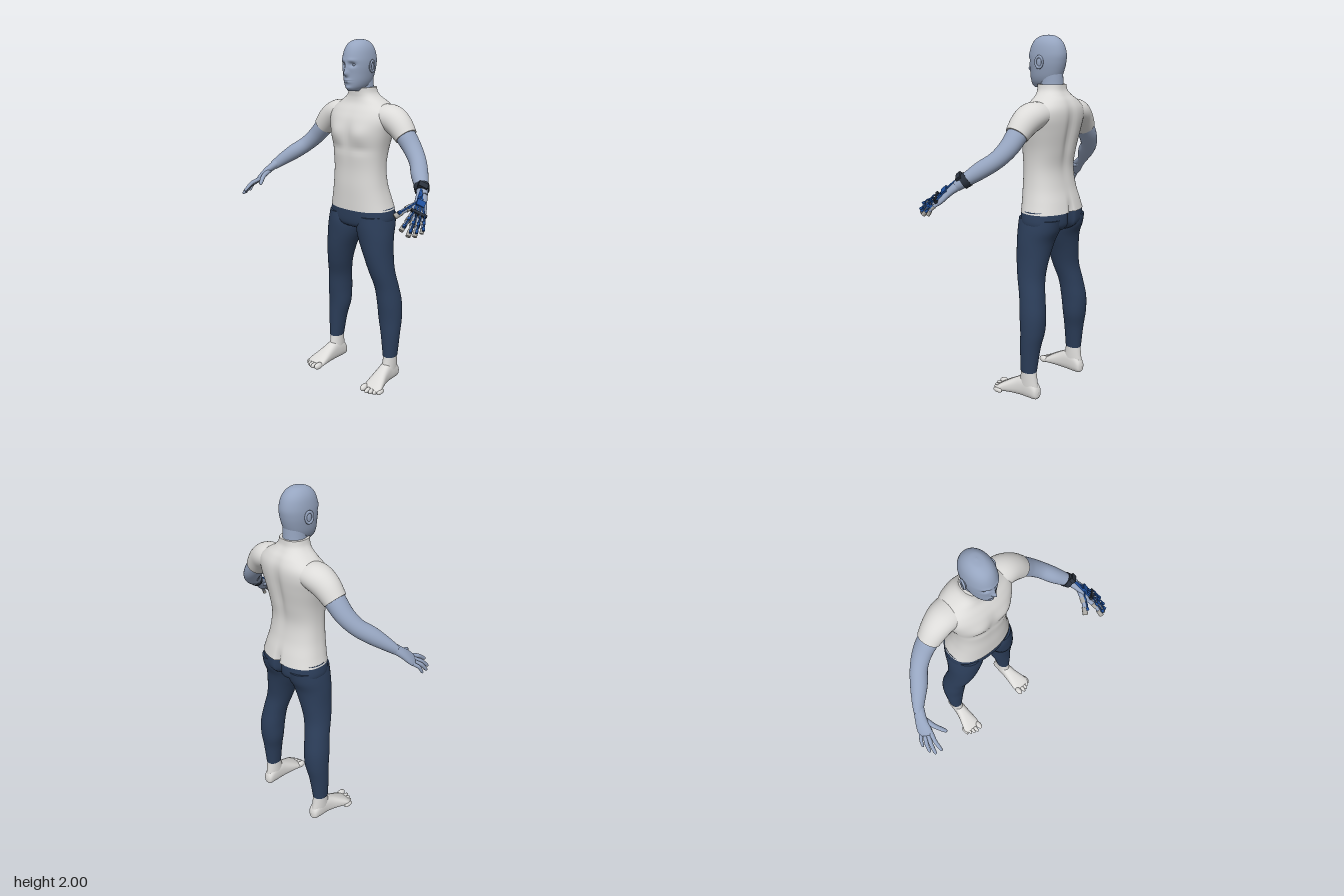
import * as THREE from 'three';

const mat = (name, color) => Object.assign(new THREE.MeshStandardMaterial({ color }), { name });
const V = (x, y, z) => new THREE.Vector3(x, y, z);
const gauss = (x, c, w) => Math.exp(-(((x - c) / w) ** 2));

// Catmull-Rom resampling of rows of numbers
function resample(rows, sub) {
  const out = [], at = i => rows[Math.min(rows.length - 1, Math.max(0, i))];
  for (let i = 0; i < rows.length - 1; i++)
    for (let k = 0; k < sub; k++) {
      const t = k / sub;
      out.push(rows[i].map((b, j) => {
        const a = at(i - 1)[j], c = at(i + 1)[j], d = at(i + 2)[j];
        return b + 0.5 * t * (c - a + t * (2 * a - 5 * b + 4 * c - d + t * (3 * (b - c) + d - a)));
      }));
    }
  out.push(rows[rows.length - 1]);
  return out;
}

// Skin a list of closed rings, with flat caps and outward faces
function skinRings(rings) {
  const n = rings[0].length, pts = rings.flat(), idx = [];
  for (let i = 0; i < rings.length - 1; i++)
    for (let j = 0; j < n; j++) {
      const a = i * n + j, b = i * n + (j + 1) % n;
      idx.push(a, b, a + n, b, b + n, a + n);
    }
  for (const last of [false, true]) {
    const ring = rings[last ? rings.length - 1 : 0], base = pts.length;
    const mid = ring.reduce((m, p) => m.add(p), V(0, 0, 0)).divideScalar(n);
    pts.push(...ring, mid);
    for (let j = 0; j < n; j++) {
      const a = base + j, b = base + (j + 1) % n;
      idx.push(base + n, ...(last ? [a, b] : [b, a]));
    }
  }
  let volume = 0;
  const cr = V(0, 0, 0);
  for (let i = 0; i < idx.length; i += 3)
    volume += pts[idx[i]].dot(cr.crossVectors(pts[idx[i + 1]], pts[idx[i + 2]]));
  if (volume < 0) idx.reverse();
  const geo = new THREE.BufferGeometry().setFromPoints(pts);
  geo.setIndex(idx);
  geo.computeVertexNormals();
  return geo;
}

// Sections along y (or z): [position, x from, x to, front/top, back/bottom]
function loft(rows, { e = 2, axis = 'y', s = 1, seg = 40, sub = 6, sculpt } = {}) {
  const pw = v => Math.sign(v) * Math.abs(v) ** (2 / e);
  return skinRings(resample(rows, sub).map(([h, xa, xb, f, b]) => Array.from({ length: seg }, (_, j) => {
    const a = j / seg * Math.PI * 2;
    const x = (xa + xb) / 2 + (xb - xa) / 2 * pw(Math.cos(a));
    const w = (f + b) / 2 + (f - b) / 2 * pw(Math.sin(a));
    const p = axis === 'y' ? V(x * s, h, w) : V(x * s, w, h);
    if (sculpt) sculpt(p);
    return p;
  })));
}
const even = rows => rows.map(([y, w, f, b]) => [y, -w, w, f, b]);

// Limb along a path: [x, y, z, radius across, radius along ref]
function limb(rows, s, ref = V(0, 0, 1), seg = 24, sub = 6) {
  const r = resample(rows, sub).map(q => [q[0] * s, ...q.slice(1)]);
  return skinRings(r.map((q, i) => {
    const p = r[Math.max(0, i - 1)], n = r[Math.min(r.length - 1, i + 1)];
    const t = V(n[0] - p[0], n[1] - p[1], n[2] - p[2]).normalize();
    const u = V(0, 0, 0).crossVectors(t, ref).normalize(), v = V(0, 0, 0).crossVectors(u, t);
    return Array.from({ length: seg }, (_, j) => {
      const a = j / seg * Math.PI * 2;
      return V(q[0], q[1], q[2]).addScaledVector(u, Math.cos(a) * q[3]).addScaledVector(v, Math.sin(a) * q[4]);
    });
  }));
}

export function createModel() {
  const skin = mat('skin', 0x96a5c0), cloth = mat('light cloth', 0xdcdbd9), navy = mat('navy trousers', 0x2c3e5a);
  const blue = mat('glove blue', 0x1f4f9c), dark = mat('glove dark', 0x2a313d), metal = mat('glove grey', 0xa9a7a2);
  const root = new THREE.Group(), body = new THREE.Group();
  root.name = 'figure';
  body.name = 'body';
  body.position.x = -0.012;
  root.add(body);
  const add = (name, geo, m) => {
    const mesh = new THREE.Mesh(geo, m);
    mesh.name = name;
    body.add(mesh);
    return mesh;
  };
  const ball = (name, m, [x, y, z], [a, b, c]) => {
    const o = add(name, new THREE.SphereGeometry(1, 24, 16), m);
    o.position.set(x, y, z);
    o.scale.set(a, b, c);
    return o;
  };
  const bar = (name, a, b, r, m) => {
    const o = add(name, new THREE.CylinderGeometry(r, r, a.distanceTo(b), 10), m);
    o.position.copy(a).lerp(b, 0.5);
    o.quaternion.setFromUnitVectors(V(0, 1, 0), b.clone().sub(a).normalize());
    return o;
  };

  // Head and neck
  add('head', loft(even([
    [2.0, 0.004, -0.1, -0.11], [1.994, 0.033, -0.06, -0.145], [1.975, 0.055, -0.026, -0.176],
    [1.945, 0.07, -0.005, -0.198], [1.9, 0.078, 0.008, -0.21], [1.86, 0.078, 0.008, -0.207],
    [1.82, 0.073, 0.004, -0.197], [1.78, 0.065, 0.001, -0.182], [1.75, 0.052, -0.004, -0.165],
    [1.728, 0.032, -0.018, -0.13]]), {
    e: 2.1, seg: 96, sub: 12, sculpt: p => {
      if (p.z < -0.08) return;
      const ax = Math.abs(p.x), y = p.y;
      p.z += 0.025 * gauss(p.x, 0, 0.011) * gauss(y, 1.824, 0.016) + 0.011 * gauss(p.x, 0, 0.008) * gauss(y, 1.853, 0.022)
        - 0.014 * gauss(ax, 0.032, 0.016) * gauss(y, 1.87, 0.012) + 0.004 * gauss(ax, 0.03, 0.025) * gauss(y, 1.893, 0.01)
        + 0.01 * gauss(p.x, 0, 0.022) * gauss(y, 1.783, 0.012) - 0.006 * gauss(p.x, 0, 0.024) * gauss(y, 1.783, 0.003)
        + 0.007 * gauss(p.x, 0, 0.02) * gauss(y, 1.745, 0.011);
    } }), skin);
  add('neck', loft(even([[1.7, 0.065, -0.06, -0.195], [1.75, 0.06, -0.062, -0.192], [1.8, 0.058, -0.06, -0.19]])), skin);

  // Shirt body with chest, spine and seat modelling
  add('shirt', loft(even([
    [1.062, 0.201, 0, -0.273], [1.12, 0.185, 0.001, -0.258], [1.2, 0.168, 0.002, -0.235], [1.3, 0.16, 0, -0.222],
    [1.4, 0.168, 0.006, -0.237], [1.5, 0.192, 0.008, -0.256], [1.57, 0.208, -0.004, -0.265], [1.62, 0.198, -0.027, -0.262],
    [1.66, 0.152, -0.05, -0.245], [1.69, 0.105, -0.058, -0.222], [1.715, 0.082, -0.058, -0.207], [1.745, 0.074, -0.055, -0.202]]), {
    e: 2.35, seg: 80, sculpt: p => {
      const ax = Math.abs(p.x), y = p.y;
      if (p.z > -0.1) p.z += 0.013 * gauss(ax, 0.085, 0.055) * gauss(y, 1.5, 0.05) - 0.006 * gauss(p.x, 0, 0.025) * gauss(y, 1.48, 0.1)
        - 0.006 * gauss(y, 1.415, 0.025) * gauss(ax, 0.08, 0.07);
      else p.z += 0.018 * gauss(p.x, 0, 0.03) * gauss(y, 1.48, 0.16) + 0.025 * gauss(p.x, 0, 0.014) * gauss(y, 1.05, 0.07);
    } }), cloth);

  // Trouser seat
  add('trouserSeat', loft(even([[1.075, 0.198, -0.003, -0.268], [1.0, 0.205, -0.006, -0.267],
    [0.965, 0.15, -0.02, -0.24], [0.945, 0.05, -0.06, -0.19]]), {
    e: 2.35, seg: 64, sculpt: p => { if (p.z < -0.1) p.z += 0.035 * gauss(p.x, 0, 0.018); } }), navy);

  for (const s of [1, -1]) {
    const side = s > 0 ? 'left' : 'right';

    // Ear and eye
    ball(side + 'Ear', skin, [0.081 * s, 1.858, -0.105], [0.009, 0.03, 0.017]);
    const rim = add(side + 'EarRim', new THREE.TorusGeometry(0.02, 0.006, 10, 28), skin);
    rim.position.set(0.086 * s, 1.86, -0.107);
    rim.rotation.y = Math.PI / 2 + 0.25 * s;
    rim.scale.y = 1.4;
    ball(side + 'Eye', skin, [0.032 * s, 1.869, -0.022], [0.013, 0.009, 0.013]);

    // Sleeve and arm
    add(side + 'Sleeve', limb([[0.11, 1.597, -0.15, 0.06, 0.085], [0.19, 1.587, -0.147, 0.073, 0.085],
      [0.25, 1.553, -0.141, 0.072, 0.075], [0.304, 1.498, -0.135, 0.06, 0.064]], s, undefined, 36), cloth);
    add(side + 'Arm', limb([[0.24, 1.56, -0.14, 0.055, 0.055], [0.3, 1.5, -0.136, 0.054, 0.058],
      [0.36, 1.435, -0.125, 0.049, 0.053], [0.417, 1.378, -0.093, 0.045, 0.047], [0.47, 1.33, -0.037, 0.044, 0.046],
      [0.52, 1.285, 0.013, 0.036, 0.035], [0.557, 1.248, 0.052, 0.027, 0.024]], s, undefined, 32), skin);

    // Palm and fingers
    const out = V(0.67 * s, 0.67, 0.33).normalize();
    add(side + 'Palm', limb([[0.54, 1.265, 0.035, 0.028, 0.025], [0.57, 1.225, 0.085, 0.033, 0.021],
      [0.587, 1.188, 0.125, 0.041, 0.018], [0.595, 1.166, 0.148, 0.038, 0.014], [0.598, 1.158, 0.156, 0.028, 0.006]], s, out), skin);
    const fingers = {
      Thumb: [V(0.558, 1.222, 0.09), V(0.503, 1.165, 0.21), 0.013],
      Index: [V(0.568, 1.184, 0.148), V(0.585, 1.122, 0.263), 0.011],
      Middle: [V(0.584, 1.172, 0.15), V(0.618, 1.097, 0.25), 0.011],
      Ring: [V(0.6, 1.164, 0.143), V(0.635, 1.092, 0.22), 0.0105],
      Little: [V(0.612, 1.162, 0.125), V(0.644, 1.098, 0.175), 0.009],
    };
    const mirror = p => V(p.x * s, p.y, p.z);
    for (const [name, [a, b, r]] of Object.entries(fingers)) {
      const n = V(0.67, 0.67, 0.33), at = (t, lift) => a.clone().lerp(b, t).addScaledVector(n, lift);
      const row = (t, lift, k) => [...at(t, lift).toArray(), r * k, r * k];
      add(side + name + 'Finger', limb([row(-0.12, -0.004, 1.1), row(0.25, 0.006, 1.08), row(0.5, 0.011, 1), row(0.85, 0.004, 0.85),
        row(0.97, 0.001, 0.6), row(1, 0, 0.15)], s, out, 14, 4), skin);
      if (s < 0) continue;

      // Glove: finger sleeves, joints and arched links
      bar('gloveSleeve' + name, mirror(at(0.34, 0.008)), mirror(at(0.55, 0.01)), r * 1.25, metal);
      bar('gloveTip' + name, mirror(at(0.72, 0.006)), mirror(at(1.01, 0)), r * 1.15, metal);
      for (const t of [0.02, 0.45, 0.85]) {
        const joint = add('gloveJoint' + name, new THREE.BoxGeometry(0.014, 0.012, 0.018), t < 0.1 ? dark : blue);
        joint.position.copy(at(t, 0.022));
        joint.lookAt(joint.position.clone().add(b).sub(a));
      }
      const link = new THREE.CatmullRomCurve3([at(0, 0.02), at(0.22, 0.032), at(0.45, 0.022), at(0.66, 0.027), at(0.85, 0.018)]);
      add('gloveLink' + name, new THREE.TubeGeometry(link, 20, 0.0045, 8), blue);
      bar('gloveStrut' + name, V(0.548, 1.285, 0.055), at(0.02, 0.022), 0.005, blue);
    }

    // Trouser leg
    add(side + 'TrouserLeg', loft([
      [1.03, 0.02, 0.2, -0.01, -0.262], [0.97, 0.003, 0.212, -0.006, -0.25], [0.9, 0.016, 0.22, -0.01, -0.22],
      [0.8, 0.056, 0.226, -0.02, -0.204], [0.7, 0.088, 0.237, -0.04, -0.197], [0.6, 0.114, 0.253, -0.068, -0.213],
      [0.5, 0.125, 0.267, -0.08, -0.229], [0.4, 0.132, 0.27, -0.09, -0.226], [0.3, 0.155, 0.267, -0.092, -0.207],
      [0.163, 0.177, 0.258, -0.095, -0.191]], { s, e: 2.1 }), navy);

    // Foot
    add(side + 'Ankle', loft([[0.19, 0.183, 0.253, -0.1, -0.187], [0.12, 0.18, 0.252, -0.088, -0.196],
      [0.06, 0.18, 0.25, -0.07, -0.205], [0.02, 0.185, 0.245, -0.08, -0.2]], { s }), cloth);
    add(side + 'Foot', loft([[-0.212, 0.203, 0.225, 0.05, 0.02], [-0.2, 0.183, 0.243, 0.08, 0.004], [-0.16, 0.178, 0.25, 0.12, 0],
      [-0.11, 0.178, 0.253, 0.125, 0], [-0.06, 0.177, 0.262, 0.102, 0], [0, 0.173, 0.282, 0.068, 0],
      [0.035, 0.173, 0.291, 0.046, 0], [0.058, 0.178, 0.28, 0.03, 0.005]], { s, axis: 'z', e: 2.4 }), cloth);
    for (let i = 0; i < 5; i++) {
      const r = i ? 0.0135 - i * 0.0006 : 0.018;
      ball(side + 'Toe', cloth, [(i ? 0.199 + i * 0.0222 : 0.189) * s, r + 0.003, [0.062, 0.064, 0.057, 0.046, 0.032][i]],
        [r, r + 0.003, 0.032]);
    }
  }

  // Glove wrist cuff and back-of-hand plate
  add('gloveCuff', limb([[0.517, 1.288, 0.01, 0.041, 0.04], [0.537, 1.268, 0.031, 0.038, 0.037]], 1, undefined, 28), dark);
  const facing = V(0.67, 0.67, 0.33);
  const block = (name, size, pos, m) => {
    const o = add(name, new THREE.BoxGeometry(...size), m);
    o.position.set(...pos);
    o.up.set(0.03, -0.08, 0.1);
    o.lookAt(o.position.clone().add(facing));
  };
  block('gloveCuffBox', [0.05, 0.03, 0.022], [0.548, 1.3, 0.04], dark);
  block('gloveHandPlate', [0.045, 0.035, 0.012], [0.588, 1.228, 0.11], blue);
  block('gloveKnuckleBar', [0.085, 0.014, 0.014], [0.606, 1.188, 0.148], dark);
  return root;
}
